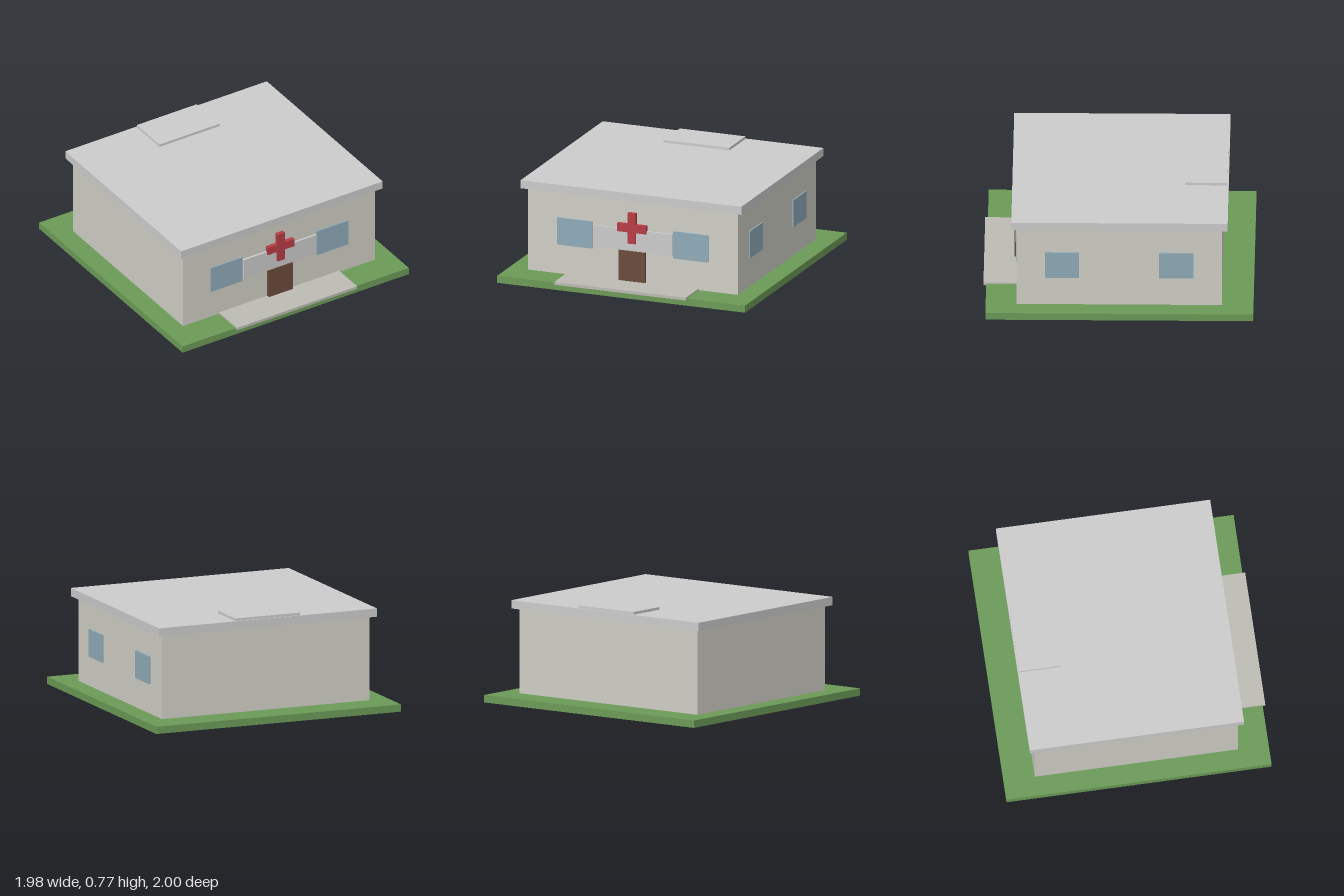
import * as THREE from 'three';

const paint = (color) => new THREE.MeshStandardMaterial({ color });

export function createModel() {
  const model = new THREE.Group();
  const grass = paint(0x6b9a57), wall = paint(0xcfcec5), roofGrey = paint(0xc0c4c0);
  const concrete = paint(0xbcbcb4), glass = paint(0x8fabb8), wood = paint(0x6b4c3b), red = paint(0xb83c46);

  // Box given by its extents along each axis
  const box = (name, material, [x0, x1], [y0, y1], [z0, z1], parent = model) => {
    const mesh = new THREE.Mesh(new THREE.BoxGeometry(x1 - x0, y1 - y0, z1 - z0), material);
    mesh.position.set((x0 + x1) / 2, (y0 + y1) / 2, (z0 + z1) / 2);
    mesh.name = name;
    parent.add(mesh);
    return mesh;
  };

  // Lawn and entrance path
  box('lawn', grass, [-0.99, 0.99], [0, 0.055], [-1, 0.98]);
  box('path', concrete, [-0.525, 0.525], [0.045, 0.067], [0.74, 1]);

  // Building shell with overhanging flat roof
  box('walls', wall, [-0.84, 0.84], [0.05, 0.69], [-0.767, 0.75]);
  box('roof', roofGrey, [-0.882, 0.882], [0.69, 0.752], [-0.81, 0.79]);
  box('roofHatch', roofGrey, [-0.262, 0.262], [0.745, 0.772], [-0.8, -0.487]);

  // Entrance: door with a sign board above it
  box('door', wood, [-0.105, 0.105], [0.06, 0.3], [0.74, 0.775]);
  box('signBoard', roofGrey, [-0.317, 0.317], [0.3, 0.465], [0.74, 0.767]);

  // Two windows in the front and two in the left wall
  const windowY = [0.279, 0.488];
  box('frontWindowLeft', glass, [0.325, 0.602], windowY, [0.74, 0.76]);
  box('frontWindowRight', glass, [-0.602, -0.325], windowY, [0.74, 0.76]);
  box('sideWindowFront', glass, [0.83, 0.851], windowY, [0.29, 0.542]);
  box('sideWindowBack', glass, [0.83, 0.851], windowY, [-0.555, -0.303]);

  // Cross, extruded from one outline
  const a = 0.032, w = 0.116, top = 0.595, bottom = 0.36, barTop = 0.508, barBottom = 0.446;
  const outline = new THREE.Shape([
    [-a, bottom], [a, bottom], [a, barBottom], [w, barBottom], [w, barTop], [a, barTop],
    [a, top], [-a, top], [-a, barTop], [-w, barTop], [-w, barBottom], [-a, barBottom],
  ].map(([x, y]) => new THREE.Vector2(x, y)));
  const cross = new THREE.Mesh(new THREE.ExtrudeGeometry(outline, { depth: 0.04, bevelEnabled: false }), red);
  cross.position.z = 0.742;
  cross.name = 'cross';
  model.add(cross);

  return model;
}
